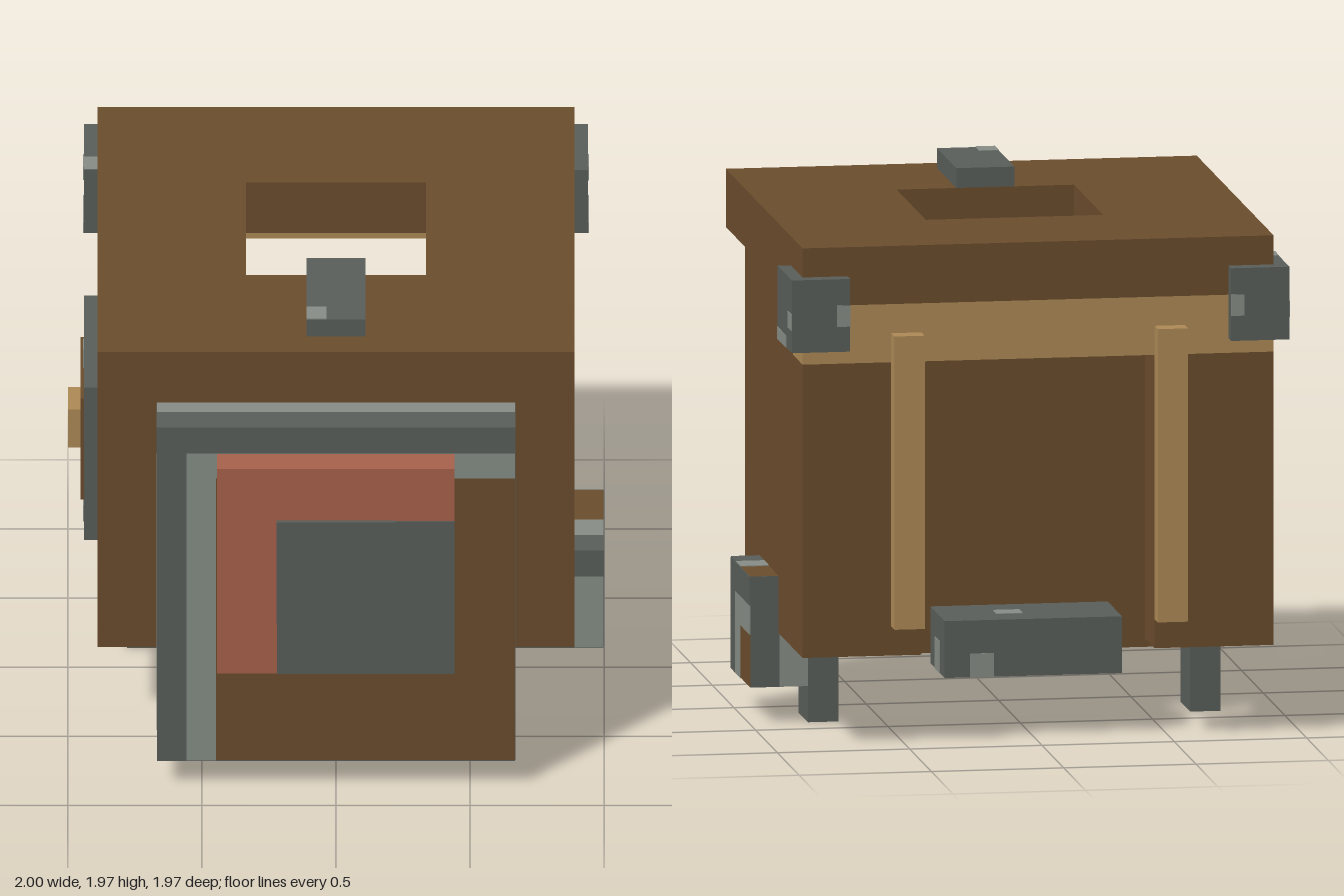
import * as THREE from 'three';

const flat = (name, color) => {
  const m = new THREE.MeshStandardMaterial({ color });
  m.name = name;
  return m;
};

export function createModel() {
  const model = new THREE.Group();
  model.name = 'timberHut';
  const wood = flat('darkWood', 0x6b4d2d);
  const tan = flat('paleWood', 0xae8a56);
  const stone = flat('greyStone', 0x5a5f5b);
  const pale = flat('paleStone', 0x878e86);
  const red = flat('redClay', 0xa8624b);
  const T = 0.003; // thickness of painted plates

  // Box from its limits on each axis
  const box = (name, mat, x0, x1, y0, y1, z0, z1, parent = model) => {
    const mesh = new THREE.Mesh(new THREE.BoxGeometry(x1 - x0, y1 - y0, z1 - z0), mat);
    mesh.position.set((x0 + x1) / 2, (y0 + y1) / 2, (z0 + z1) / 2);
    mesh.name = name;
    parent.add(mesh);
    return mesh;
  };

  // Stone border along the left and top edges of the four upright faces of a block
  const borderedBlock = (name, x0, x1, y0, y1, z0, z1) => {
    const block = new THREE.Group();
    block.name = name;
    block.position.set((x0 + x1) / 2, (y0 + y1) / 2, (z0 + z1) / 2);
    const X = (x1 - x0) / 2, Y = (y1 - y0) / 2, Z = (z1 - z0) / 2, s = 0.11;
    box(name + 'Core', wood, -X, X, -Y, Y, -Z, Z, block);
    for (let i = 0; i < 4; i++) {
      const w = i % 2 ? Z : X, d = i % 2 ? X : Z;
      const face = new THREE.Group();
      face.name = name + 'Border';
      face.rotation.y = i * Math.PI / 2;
      box('edgeStrip', stone, -w, -w + s, -Y, Y, d, d + T, face);
      box('topStrip', stone, -w + s, w, Y - s, Y, d, d + T, face);
      box('innerEdgeStrip', pale, -w + s, Math.min(w, -w + 2 * s), -Y, Y - s, d, d + T, face);
      if (w > s * 1.1) box('innerTopStrip', pale, -w + 2 * s, w, Y - 2 * s, Y - s, d, d + T, face);
      block.add(face);
    }
    // Top and bottom strips
    for (const y of [Y, -Y - T]) {
      box('capFrontStrip', stone, -X, X, y, y + T, Z - s, Z, block);
      box('capInnerStrip', pale, -X, X, y, y + T, Z - 2 * s, Z - s, block);
    }
    model.add(block);
  };

  // Roof slab with a square opening
  const slab = new THREE.Shape([[-0.89, -0.86], [0.89, -0.86], [0.89, 0.91], [-0.89, 0.91]]
    .map(p => new THREE.Vector2(...p)));
  slab.holes.push(new THREE.Path([[-0.335, -0.305], [-0.335, 0.365], [0.335, 0.365], [0.335, -0.305]]
    .map(p => new THREE.Vector2(...p))));
  const roof = new THREE.Mesh(
    new THREE.ExtrudeGeometry(slab, { depth: 0.22, bevelEnabled: false }).rotateX(-Math.PI / 2), wood);
  roof.position.y = 1.67;
  roof.name = 'roof';
  model.add(roof);
  box('roofStone', stone, -0.11, 0.11, 1.89, 1.965, 0.305, 0.75);
  box('roofStoneSpot', pale, -0.11, -0.035, 1.965, 1.968, 0.66, 0.75);

  // Walls, posts, legs and corner stones, mirrored left and right
  for (const s of [1, -1]) {
    const side = (name, mat, a, b, ...rest) =>
      box(name, mat, Math.min(a * s, b * s), Math.max(a * s, b * s), ...rest);
    side('sideWall', wood, 0.67, 0.89, 0.34, 1.67, -0.69, 0.42);
    side('backWall', wood, 0.44, 0.89, 0.34, 1.45, -0.91, -0.69);
    side('backPost', tan, 0.44, 0.555, 0.45, 1.56, -0.985, -0.91);
    side('leg', stone, 0.665, 0.78, 0, 0.34, -0.36, -0.14);
    side('cornerStone', stone, 0.72, 0.94, 1.505, 1.78, -0.97, -0.64);
    side('cornerLowSpot', pale, 0.94, 0.943, 1.505, 1.55, -0.84, -0.64);
    side('cornerRearSpot', pale, 0.94, 0.943, 1.59, 1.65, -0.97, -0.88);
    side('cornerBackSpot', pale, 0.72, 0.77, 1.6, 1.68, -0.973, -0.97);
  }
  box('cornerTopSpot', pale, -0.94, -0.89, 1.78, 1.783, -0.73, -0.64);
  box('backBeam', tan, -0.89, 0.89, 1.45, 1.67, -0.91, -0.69);

  // Front block with its clay plaque
  borderedBlock('frontBlock', -0.667, 0.667, 0.113, 1.56, 0.423, 0.86);
  box('plaque', red, -0.443, 0.443, 0.557, 1.447, 0.86, 0.97);
  box('plaqueStoneFace', stone, -0.22, 0.443, 0.557, 1.22, 0.97, 0.973);
  box('plaqueCentre', stone, -0.222, 0.222, 0.78, 1.222, 0.97, 0.985);

  // Bracket on the left wall
  borderedBlock('bracket', 0.778, 0.997, 0.137, 0.557, -0.357, 0.083);

  // Framed knob on the right wall
  box('knobFrame', stone, -0.94, -0.89, 0.67, 1.335, -0.47, 0.195);
  box('knobPanel', wood, -0.952, -0.94, 0.78, 1.22, -0.36, 0.083);
  box('knob', tan, -1, -0.952, 0.92, 1.085, -0.225, -0.06);
  box('frameTopSpot', pale, -0.943, -0.94, 1.23, 1.31, -0.2, -0.12);
  box('frameLowSpot', pale, -0.943, -0.94, 0.67, 0.74, -0.1, 0.06);

  // Stone step in the back opening
  box('step', stone, -0.335, 0.335, 0.23, 0.445, -0.8, -0.47);
  for (const x of [-0.338, 0.335]) box('stepSideSpot', pale, x, x + T, 0.23, 0.35, -0.69, -0.58);
  box('stepBackSpot', pale, 0.15, 0.24, 0.23, 0.32, -0.803, -0.8);
  box('stepTopSpot', pale, 0.02, 0.12, 0.445, 0.448, -0.68, -0.6);
  return model;
}
